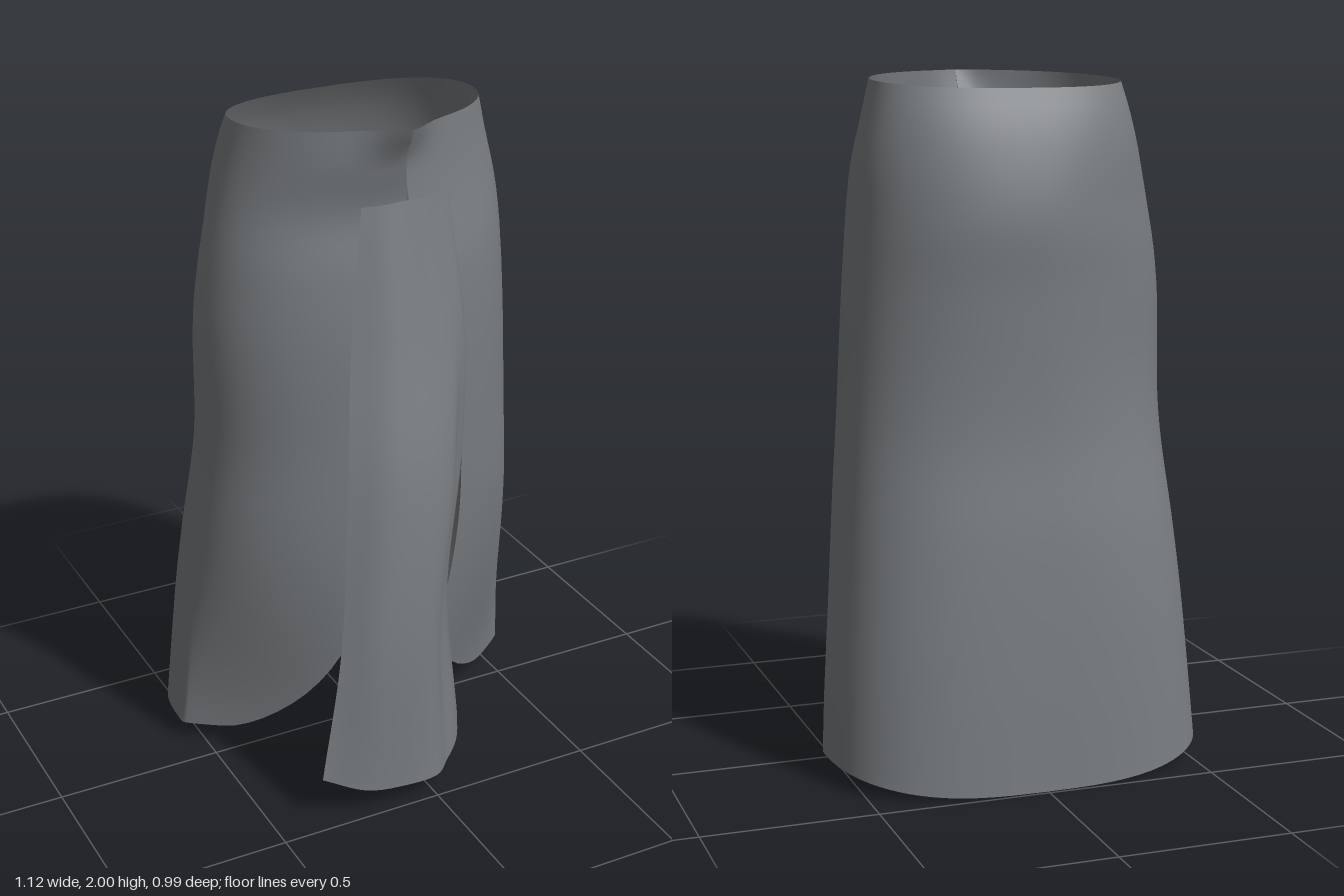
import * as THREE from 'three';

const { lerp, smoothstep } = THREE.MathUtils;

// Smooth open surface from f(u, v); u runs around, v runs upward
function sheet(f, nu, nv) {
  const pos = [], index = [];
  for (let j = 0; j <= nv; j++) {
    for (let i = 0; i <= nu; i++) pos.push(...f(i / nu, j / nv));
  }
  for (let j = 0; j < nv; j++) {
    for (let i = 0; i < nu; i++) {
      const a = j * (nu + 1) + i, b = a + 1, c = a + nu + 1, d = c + 1;
      index.push(a, b, d, a, d, c);
    }
  }
  const g = new THREE.BufferGeometry();
  g.setAttribute('position', new THREE.Float32BufferAttribute(pos, 3));
  g.setIndex(index);
  g.computeVertexNormals();
  return g;
}

// Body profile: height, right x, left x, back z, widest z, front z (left flap), front z (right flap)
const profile = [
  [0.0, -0.565, 0.56, -0.490, -0.12, 0.23, 0.20],
  [0.3, -0.54, 0.545, -0.47, -0.11, 0.245, 0.20],
  [0.7, -0.505, 0.51, -0.435, -0.10, 0.27, 0.22],
  [1.0, -0.48, 0.485, -0.40, -0.09, 0.285, 0.23],
  [1.4, -0.478, 0.46, -0.395, -0.08, 0.288, 0.235],
  [1.6, -0.45, 0.445, -0.40, -0.075, 0.275, 0.22],
  [1.75, -0.415, 0.43, -0.375, -0.07, 0.25, 0.20],
  [1.9, -0.375, 0.395, -0.325, -0.065, 0.235, 0.228],
  [2.0, -0.35, 0.37, -0.265, -0.06, 0.23, 0.23],
];
const section = new THREE.CubicInterpolant(
  profile.map((row) => row[0]), profile.flatMap((row) => row.slice(1)), 6, new Array(6));

// Hem height by angle from the front: high at the slit, lowest at the back
function hem(a) {
  const fromFront = Math.min(a, 2 * Math.PI - a);
  const rise = Math.max(0, (1.08 - fromFront) / 0.7);
  const back = Math.max(0, -Math.cos(a));
  return 0.062 + 0.31 * Math.min(1, rise ** 1.7) - 0.06 * back ** 2;
}

// Squareness of the outline: wedge-like at the front hem, rounder at the hips, squarer at the back hem
function squareness(s, c, y) {
  const front = lerp(1.1, 2.15, smoothstep(y, 0, 0.9)) - 0.2 * smoothstep(y, 1.6, 1.9);
  const hips = smoothstep(y, 0.4, 1.3) * (1 - smoothstep(y, 1.6, 1.95));
  const back = lerp(lerp(2.9, 2.5, y / 2), s > 0 ? 2.3 : 1.8, hips);
  return c < 0 ? back : front;
}

// Wrapped body: closed at the waistband, flaps overlap below it and part into a slit
function bodyPoint(u, v) {
  const rough = lerp(0.06, 2, v);
  const open = 1 - smoothstep(rough, 1.2, 1.8);
  const start = lerp(0.04, 0.38, open);
  const overlap = 0.05 * (1 - smoothstep(rough, 1.82, 1.9));
  const end = 2 * Math.PI + lerp(0.04 + overlap, -0.25, open);
  const a = lerp(start, end, u);
  const s = Math.sin(a), c = Math.cos(a);
  const y = lerp(hem(a), 1.98 + 0.02 * c, v);
  const [xR, xL, zB, zC, zFL, zFR] = section.evaluate(y);
  const n = squareness(s, c, y);
  const x = (s > 0 ? xL : -xR) * Math.sign(s) * Math.abs(s) ** (2 / n);
  const depth = c > 0 ? lerp(zFL, zFR, smoothstep(u, 0, 1)) - zC : zC - zB;
  let z = zC + depth * Math.sign(c) * Math.abs(c) ** (2 / n);
  // flared point at the front of the waist
  const fromFront = Math.min(a, Math.abs(2 * Math.PI - a));
  z += 0.05 * smoothstep(y, 1.9, 2) * Math.exp(-((fromFront / 0.22) ** 2));
  return [x, y, z];
}

// Front panel control rows, top to bottom, each across from -x to +x, folded back near +x
const panelRows = [
  [[-0.12, 1.79, 0.235], [-0.06, 1.795, 0.255], [0, 1.8, 0.262], [0.05, 1.8, 0.262], [0.09, 1.805, 0.26], [0.12, 1.805, 0.252], [0.14, 1.805, 0.245]],
  [[-0.185, 1.4, 0.30], [-0.08, 1.4, 0.345], [0.03, 1.4, 0.345], [0.1, 1.4, 0.335], [0.145, 1.4, 0.315], [0.172, 1.4, 0.295], [0.19, 1.4, 0.265]],
  [[-0.235, 1.0, 0.38], [-0.13, 1.0, 0.435], [0, 1.0, 0.44], [0.085, 1.0, 0.405], [0.125, 1.0, 0.34], [0.165, 1.0, 0.305], [0.195, 1.0, 0.258]],
  [[-0.285, 0.55, 0.435], [-0.19, 0.55, 0.485], [-0.06, 0.55, 0.49], [0.02, 0.55, 0.455], [0.07, 0.55, 0.37], [0.125, 0.55, 0.31], [0.168, 0.55, 0.235]],
  [[-0.355, 0.14, 0.45], [-0.23, 0.085, 0.485], [-0.1, 0.065, 0.49], [0.01, 0.055, 0.475], [0.075, 0.055, 0.42], [0.15, 0.065, 0.345], [0.21, 0.08, 0.24]],
];
const curve = (points) => new THREE.CatmullRomCurve3(points, false, 'catmullrom', 0.5);
const panelCurves = panelRows.map((row) => curve(row.map((p) => new THREE.Vector3(...p))));

function panelPoint(u, v) {
  return curve(panelCurves.map((c) => c.getPoint(u))).getPoint(1 - v).toArray();
}

export function createModel() {
  const group = new THREE.Group();
  group.name = 'wrapSkirt';

  const fabric = new THREE.MeshStandardMaterial({ color: 0x787c7f, side: THREE.DoubleSide });
  fabric.name = 'grey fabric';

  const body = new THREE.Mesh(sheet(bodyPoint, 72, 40), fabric);
  body.name = 'skirtBody';
  group.add(body);

  const panel = new THREE.Mesh(sheet(panelPoint, 30, 32), fabric);
  panel.name = 'frontPanel';
  group.add(panel);

  return group;
}
